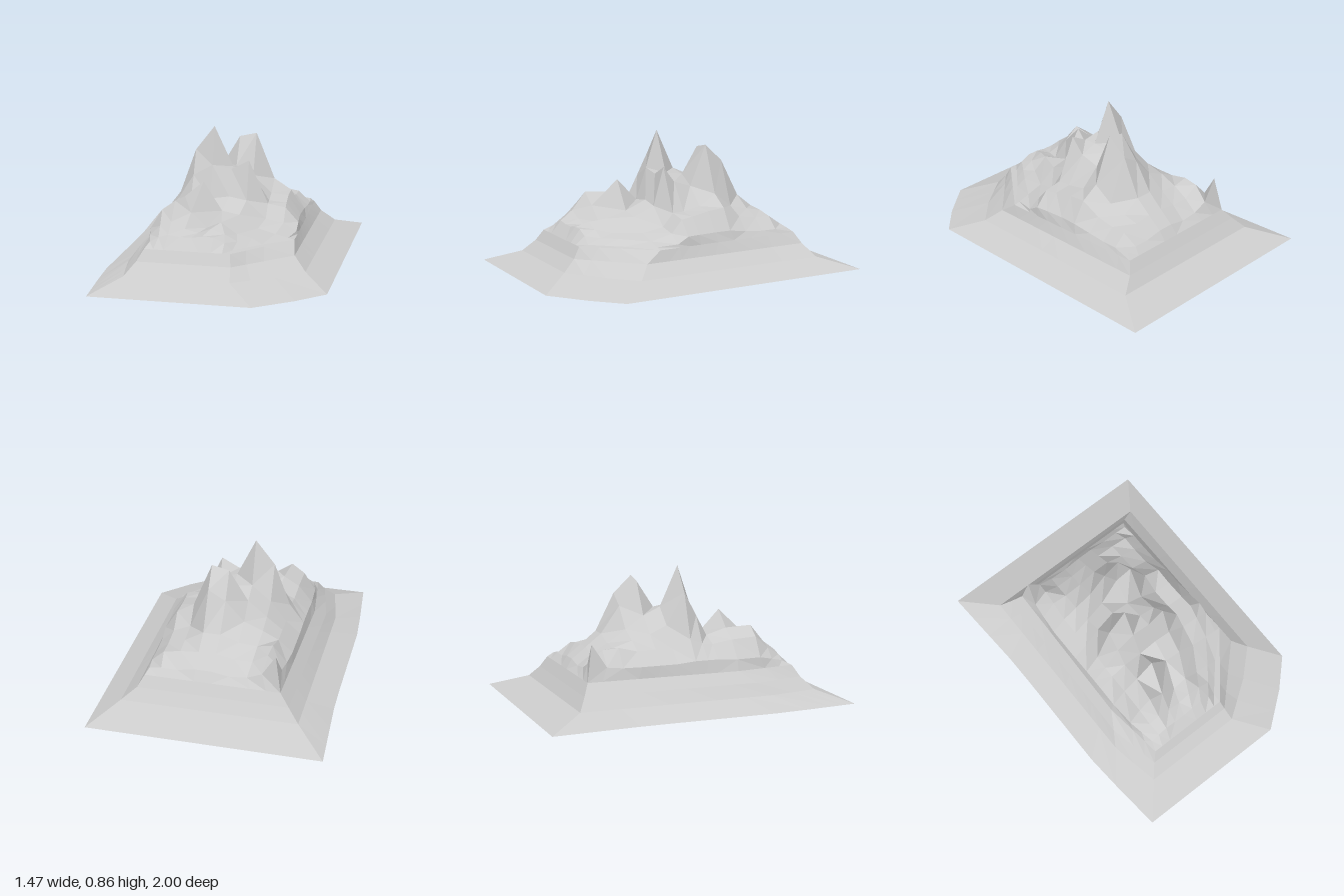
import * as THREE from 'three';

// Summit grid: each row runs left to right at one depth [z, leftX, rightX]
const rows = [
  [-0.64, -0.37, 0.42], [-0.55, -0.39, 0.43], [-0.45, -0.4, 0.43], [-0.33, -0.41, 0.43],
  [-0.21, -0.41, 0.44], [-0.1, -0.41, 0.44], [0.02, -0.41, 0.45], [0.1, -0.41, 0.46],
  [0.17, -0.41, 0.46], [0.3, -0.41, 0.43], [0.46, -0.4, 0.3], [0.55, -0.38, 0.22], [0.63, -0.36, 0.15],
];
const columns = [0, 0.106, 0.224, 0.365, 0.506, 0.635, 0.776, 0.906, 1];
const CORNER = 9; // row where the front right corner starts to be cut off
const heights = [
  [0.445, 0.31, 0.27, 0.26, 0.28, 0.28, 0.26, 0.26, 0.25],
  [0.3, 0.39, 0.33, 0.33, 0.35, 0.35, 0.34, 0.32, 0.25],
  [0.29, 0.4, 0.38, 0.39, 0.43, 0.43, 0.36, 0.32, 0.25],
  [0.29, 0.37, 0.42, 0.47, 0.6, 0.665, 0.39, 0.34, 0.26],
  [0.29, 0.37, 0.45, 0.55, 0.75, 0.775, 0.48, 0.41, 0.28],
  [0.29, 0.37, 0.5, 0.6, 0.58, 0.52, 0.41, 0.4, 0.28],
  [0.3, 0.42, 0.7, 0.855, 0.6, 0.56, 0.39, 0.38, 0.28],
  [0.3, 0.39, 0.55, 0.62, 0.6, 0.66, 0.39, 0.37, 0.28],
  [0.3, 0.38, 0.42, 0.42, 0.44, 0.42, 0.31, 0.29, 0.24],
  [0.29, 0.4, 0.46, 0.56, 0.38, 0.36, 0.28, 0.25, 0.23],
  [0.29, 0.41, 0.47, 0.4, 0.31, 0.35, 0.28, 0.26, 0.225],
  [0.27, 0.33, 0.36, 0.32, 0.3, 0.33, 0.3, 0.26, 0.225],
  [0.25, 0.28, 0.3, 0.29, 0.29, 0.3, 0.3, 0.27, 0.225],
];

// Foot contours, from the cliffs down to the ground; sides are [z, x] polylines
const contours = [
  { y: 0.22, corner: 0.3, left: [[-0.68, -0.41], [0.3, -0.43], [0.69, -0.38]], right: [[-0.68, 0.44], [0.3, 0.47], [0.69, 0.15]] },
  { y: 0.15, corner: 0.4, left: [[-0.72, -0.47], [0.4, -0.49], [0.73, -0.42]], right: [[-0.72, 0.48], [0.4, 0.49], [0.73, 0.16]] },
  { y: 0.075, corner: 0.48, left: [[-0.77, -0.54], [0.5, -0.54], [0.8, -0.48]], right: [[-0.77, 0.57], [0.48, 0.57], [0.64, 0.4], [0.8, 0.17]] },
  { y: 0, corner: 0.66, left: [[-1, -0.735], [-0.4, -0.7], [0.48, -0.7], [1, -0.65]], right: [[-1, 0.73], [0.66, 0.73], [0.82, 0.57], [1, 0.34]] },
];

const { lerp, mapLinear } = THREE.MathUtils;

// x of a side polyline at depth z
function sideX(line, z) {
  let k = 0;
  while (k < line.length - 2 && z > line[k + 1][0]) k++;
  const [z0, x0] = line[k], [z1, x1] = line[k + 1];
  return mapLinear(z, z0, z1, x0, x1);
}

// Summit vertex, or the matching vertex on a contour
function gridPoint(r, c) {
  const [z, x0, x1] = rows[r];
  return [lerp(x0, x1, columns[c]), heights[r][c], z];
}
function contourPoint({ y, corner, left, right }, r, c) {
  const first = rows[0][0], turn = rows[CORNER][0], last = rows[rows.length - 1][0];
  const z = r <= CORNER
    ? mapLinear(rows[r][0], first, turn, left[0][0], corner)
    : mapLinear(rows[r][0], turn, last, corner, left[left.length - 1][0]);
  return [lerp(sideX(left, z), sideX(right, z), columns[c]), y, z];
}

// Grid border, clockwise from above
function border() {
  const R = rows.length - 1, C = columns.length - 1, list = [];
  for (let c = 0; c < C; c++) list.push([0, c]);
  for (let r = 0; r < R; r++) list.push([r, C]);
  for (let c = C; c > 0; c--) list.push([R, c]);
  for (let r = R; r > 0; r--) list.push([r, 0]);
  return list;
}

// Quad split along its flatter diagonal, so ridges stay crisp
function addQuad(out, a, b, c, d) {
  if (Math.abs(a[1] - c[1]) <= Math.abs(b[1] - d[1])) out.push(...a, ...b, ...c, ...a, ...c, ...d);
  else out.push(...a, ...b, ...d, ...b, ...c, ...d);
}

function makeMesh(name, positions, material) {
  const geometry = new THREE.BufferGeometry();
  geometry.setAttribute('position', new THREE.Float32BufferAttribute(positions, 3));
  geometry.computeVertexNormals();
  const mesh = new THREE.Mesh(geometry, material);
  mesh.name = name;
  return mesh;
}

export function createModel() {
  const group = new THREE.Group();
  group.name = 'mountain';
  const rock = new THREE.MeshStandardMaterial({ color: 0xcccccc, flatShading: true });

  // Peaks and ridges
  const peaks = [];
  for (let r = 0; r < rows.length - 1; r++) {
    for (let c = 0; c < columns.length - 1; c++) {
      addQuad(peaks, gridPoint(r, c), gridPoint(r + 1, c), gridPoint(r + 1, c + 1), gridPoint(r, c + 1));
    }
  }
  group.add(makeMesh('peaks', peaks, rock));

  // Slopes stepping down through the contours
  const edge = border();
  const rings = [edge.map(([r, c]) => gridPoint(r, c))];
  for (const contour of contours) rings.push(edge.map(([r, c]) => contourPoint(contour, r, c)));
  const slopes = [];
  for (let k = 0; k < rings.length - 1; k++) {
    const inner = rings[k], outer = rings[k + 1];
    for (let i = 0; i < edge.length; i++) {
      const j = (i + 1) % edge.length;
      addQuad(slopes, outer[i], inner[i], inner[j], outer[j]);
    }
  }
  group.add(makeMesh('slopes', slopes, rock));

  // Flat underside
  const foot = rings[rings.length - 1], base = [];
  foot.forEach((p, i) => base.push(0, 0, 0, ...p, ...foot[(i + 1) % foot.length]));
  group.add(makeMesh('underside', base, rock));

  return group;
}
